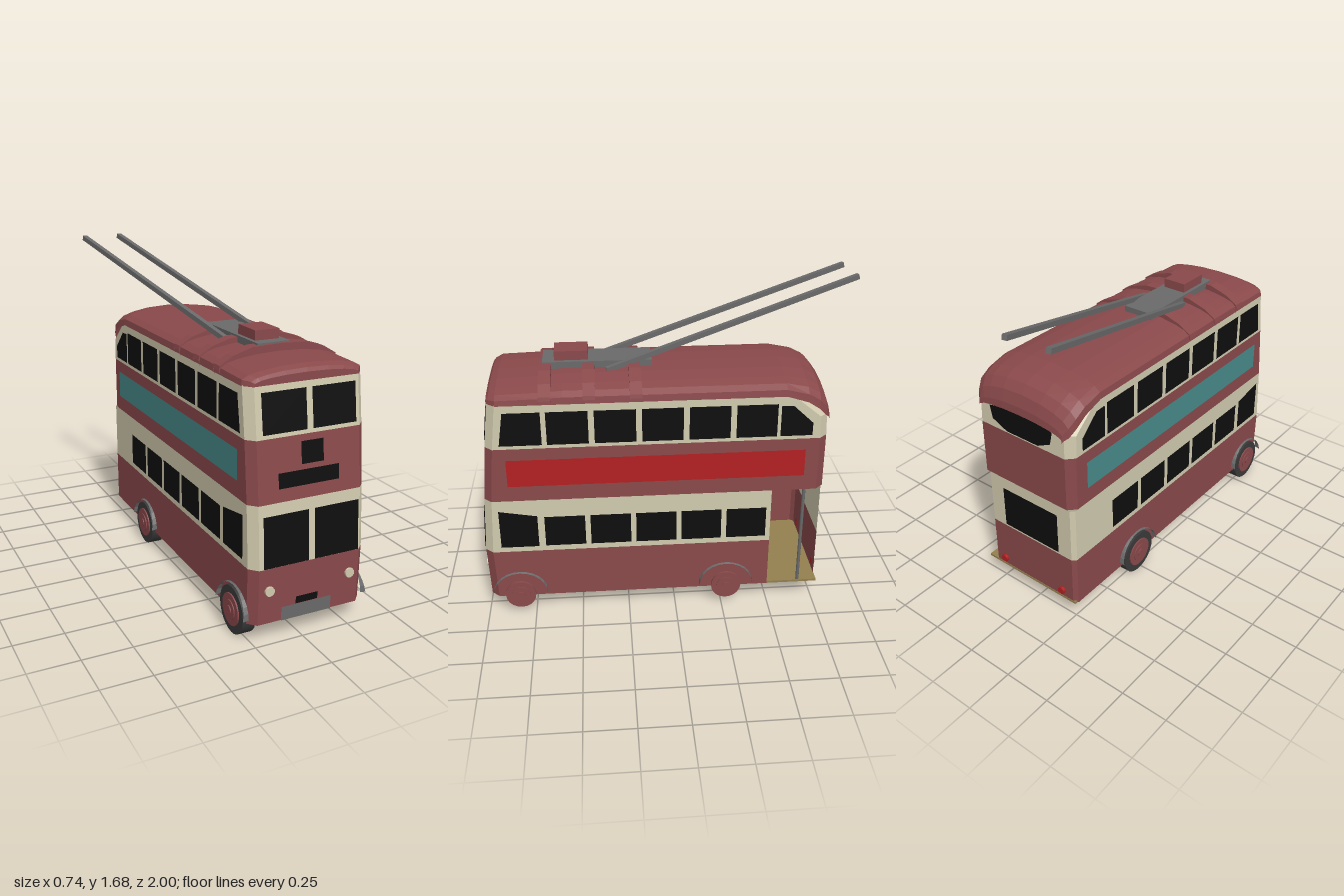
import * as THREE from 'three';

const CX = 0.035;   // centre line of the body
const HW = 0.305;   // half width of the body

const paint = (name, color) => {
  const m = new THREE.MeshStandardMaterial({ color, side: THREE.DoubleSide });
  m.name = name;
  return m;
};

export function createModel() {
  const maroon = paint('maroon', 0x8a494b), cream = paint('cream', 0xd2cbaf);
  const black = paint('black', 0x0e0e0e), red = paint('red', 0xb42022);
  const teal = paint('teal', 0x488a8a), grey = paint('grey', 0x6a6a6a);
  const rubber = paint('rubber', 0x3a3a3a), tan = paint('tan', 0x94804f);

  const bus = new THREE.Group();
  bus.name = 'trolleybus';

  const add = (name, geo, mat, x = 0, y = 0, z = 0) => {
    const mesh = new THREE.Mesh(geo, mat);
    mesh.name = name;
    mesh.position.set(x, y, z);
    bus.add(mesh);
    return mesh;
  };
  const flatMesh = (name, pos, mat) => {
    const g = new THREE.BufferGeometry();
    g.setAttribute('position', new THREE.Float32BufferAttribute(pos.flat(), 3));
    g.computeVertexNormals();
    return add(name, g, mat);
  };
  // Skin over rows of points
  const surface = (name, rows, mat) => {
    const pos = [];
    for (let r = 0; r + 1 < rows.length; r++)
      for (let i = 0; i + 1 < rows[r].length; i++) {
        const a = rows[r][i], b = rows[r][i + 1], c = rows[r + 1][i + 1], d = rows[r + 1][i];
        pos.push(a, b, c, a, c, d);
      }
    return flatMesh(name, pos, mat);
  };
  // Thin convex plate
  const panel = (name, pts, mat) => {
    const pos = [];
    for (let i = 1; i + 1 < pts.length; i++) pos.push(pts[0], pts[i], pts[i + 1]);
    return flatMesh(name, pos, mat);
  };
  const box = (name, x0, x1, y0, y1, z0, z1, mat) =>
    add(name, new THREE.BoxGeometry(x1 - x0, y1 - y0, z1 - z0), mat,
      (x0 + x1) / 2, (y0 + y1) / 2, (z0 + z1) / 2);

  // Body walls, one band per colour; the nose leans back with height
  const L = CX - HW, R = CX + HW;
  const nose = [[0.1, 0.982], [0.38, 0.991], [0.685, 0.973], [0.98, 0.945], [1.1, 0.93], [1.22, 0.915]];
  const noseZ = y => {
    const i = Math.max(1, nose.findIndex(n => n[0] >= y));
    const [y0, z0] = nose[i - 1], [y1, z1] = nose[i];
    return z0 + (z1 - z0) * (y - y0) / (y1 - y0);
  };
  const frontOutline = (y, z = noseZ(y)) => [
    [L, y, z - 0.04], [L + 0.038, y, z], [R - 0.038, y, z], [R, y, z - 0.04]];
  const lowerRing = y => [[0.28, y, -0.77], [L + 0.02, y, -0.77], [L, y, -0.75],
    ...frontOutline(y), [R, y, -0.5]];
  const upperRing = (y, zr = -0.77) => [[CX, y, zr], [L + 0.038, y, zr], [L, y, zr + 0.04],
    ...frontOutline(y), [R, y, zr + 0.04], [R - 0.038, y, zr], [CX, y, zr]];
  surface('lowerPanels', [lowerRing(0.1), lowerRing(0.38)], maroon);
  surface('lowerWindowBand', [lowerRing(0.38), lowerRing(0.685)], cream);
  surface('middlePanels', [upperRing(0.685), upperRing(0.98)], maroon);
  surface('upperWindowBand', [upperRing(0.98), upperRing(1.1, -0.765), upperRing(1.22, -0.62)], cream);

  // Rear platform: bulkhead, floor, ceiling and grab pole
  for (const [y0, y1, m] of [[0.1, 0.38, maroon], [0.38, 0.685, cream]])
    panel('bulkhead', [[R, y0, -0.5], [L, y0, -0.5], [L, y1, -0.5], [R, y1, -0.5]], m);
  box('platformFloor', L + 0.005, R, 0.1, 0.112, -0.772, -0.5, tan);
  panel('platformCeiling', upperRing(0.685).slice(1, 3).concat(
    [[L, 0.685, -0.5], [R, 0.685, -0.5], [R, 0.685, -0.73], [R - 0.038, 0.685, -0.77]]), cream);
  panel('underside', [[L, 0.1, -0.5], ...frontOutline(0.1), [R, 0.1, -0.5]].reverse(), maroon);
  add('grabPole', new THREE.CylinderGeometry(0.009, 0.009, 0.58, 8), grey, R - 0.012, 0.395, -0.67);

  // Domed roof from cross-sections: z, half width, eave height, crown height
  const dome = [[-1, 0], [-0.985, 0.38], [-0.88, 0.62], [-0.7, 0.79], [-0.4, 0.94], [0, 1],
    [0.4, 0.94], [0.7, 0.79], [0.88, 0.62], [0.985, 0.38], [1, 0]];
  const section = ([z, w, eave, crown]) =>
    dome.map(([u, f]) => [CX + u * w, eave + f * (crown - eave), z]);
  surface('roof', [
    [0.918, 0.268, 1.215, 1.216], [0.918, 0.268, 1.215, 1.255], [0.905, 0.28, 1.215, 1.272],
    [0.872, 0.308, 1.215, 1.285], [0.66, 0.308, 1.215, 1.295], [0.55, 0.308, 1.215, 1.305],
    [-0.55, 0.308, 1.215, 1.305], [-0.66, 0.308, 1.18, 1.29], [-0.72, 0.307, 1.14, 1.262],
    [-0.755, 0.29, 1.1, 1.22], [-0.775, 0.268, 1.08, 1.16], [-0.779, 0.264, 1.07, 1.12],
  ].map(section), maroon);

  // Raised ribs across the roof
  const ribLine = [[-1, 1.235], [-0.985, 1.255], [-0.77, 1.295], [-0.45, 1.325], [0, 1.33],
    [0.45, 1.325], [0.77, 1.295], [0.985, 1.255], [1, 1.235]];
  const rib = (z, drop) => ribLine.map(([u, y]) => [CX + u * (0.312 - drop / 4), y - drop, z]);
  for (const z of [0.635, 0.42, 0.192])
    surface('roofRib', [rib(z + 0.03, 0.05), rib(z + 0.03, 0), rib(z - 0.03, 0), rib(z - 0.03, 0.05)], maroon);

  // Current collector base, housing and poles
  box('collectorBase', -0.072, 0.098, 1.29, 1.335, 0.1, 0.65, grey);
  box('collectorHousing', -0.053, 0.075, 1.33, 1.383, 0.42, 0.59, maroon);
  for (const [from, to] of [
    [[-0.09, 1.3, 0.36], [-0.355, 1.668, -0.965]],
    [[0.133, 1.3, 0.33], [-0.135, 1.668, -0.99]]]) {
    const a = new THREE.Vector3(...from), b = new THREE.Vector3(...to);
    const pole = add('trolleyPole', new THREE.BoxGeometry(0.026, 0.026, a.distanceTo(b)), grey);
    pole.position.copy(a).lerp(b, 0.5);
    pole.lookAt(b);
  }

  // Side windows and banners, as [z, y] outlines
  const rect = (a, b, y0, y1) => [[a, y0], [b, y0], [b, y1], [a, y1]];
  const upperWindows = [[[0.87, 1], [0.66, 1], [0.66, 1.177], [0.842, 1.177]],
    [[-0.525, 1], [-0.688, 1], [-0.688, 1.068], [-0.585, 1.165], [-0.525, 1.168]]];
  const lowerWindows = [[[0.905, 0.41], [0.71, 0.41], [0.71, 0.592], [0.905, 0.627]]];
  for (let i = 0; i < 5; i++) {
    upperWindows.push(rect(0.635 - i * 0.2345, 0.43 - i * 0.2345, 1, 1.177));
    lowerWindows.push(rect(0.675 - i * 0.2355, 0.467 - i * 0.2355, 0.412, 0.585));
  }
  for (const s of [1, -1]) {
    const onSide = pts => {
      const out = pts.map(([z, y]) => [CX + s * (HW + 0.004), y, z]);
      return s > 0 ? out : out.reverse();
    };
    upperWindows.forEach(w => panel('upperSideWindow', onSide(w), black));
    lowerWindows.forEach(w => panel('lowerSideWindow', onSide(w), black));
    panel('sideBanner', onSide(rect(0.845, -0.66, 0.77, 0.918)), s > 0 ? red : teal);
  }

  // Front windows, route boxes and plate
  const onFront = (name, x0, x1, y0, y1, mat) => panel(name,
    [[x0, y0], [x1, y0], [x1, y1], [x0, y1]].map(([x, y]) => [x, y, noseZ(y) + 0.005]), mat);
  onFront('lowerFrontWindow', -0.21, 0.024, 0.383, 0.63, black);
  onFront('lowerFrontWindow', 0.055, 0.292, 0.383, 0.63, black);
  onFront('upperFrontWindow', -0.202, 0.024, 1, 1.187, black);
  onFront('upperFrontWindow', 0.055, 0.282, 1, 1.187, black);
  onFront('routeNumberBox', -0.01, 0.105, 0.845, 0.95, black);
  onFront('destinationBox', -0.13, 0.185, 0.748, 0.82, black);
  onFront('numberPlate', -0.037, 0.08, 0.172, 0.208, black);
  onFront('frontStepPlate', -0.112, 0.155, 0.1, 0.17, grey);
  for (const x of [-0.178, 0.252])
    add('headlight', new THREE.CylinderGeometry(0.024, 0.024, 0.016, 10).rotateX(Math.PI / 2), cream, x, 0.268, 0.992);

  // Rear windows and lamps
  panel('lowerRearWindow', [[0.19, 0.395], [-0.17, 0.395], [-0.17, 0.625], [0.19, 0.625]]
    .map(([x, y]) => [x, y, -0.775]), black);
  panel('upperRearWindow', [[0.13, 0.99], [-0.07, 0.99], [-0.15, 1.03], [-0.165, 1.1],
    [-0.08, 1.12], [0.15, 1.12], [0.235, 1.1], [0.22, 1.03]].map(([x, y]) => [x, y, -0.774]), black);
  for (const x of [-0.18, 0.22])
    add('tailLamp', new THREE.CylinderGeometry(0.02, 0.02, 0.015, 10).rotateX(Math.PI / 2), red, x, 0.15, -0.777);

  // Axles, mudguards, hubs, and tyres on the kerbless side
  for (const z of [0.825, -0.272]) {
    box('axle', -0.22, R, 0.07, 0.1, z - 0.008, z + 0.008, grey);
    add('tyre', new THREE.CylinderGeometry(0.118, 0.118, 0.068, 24).rotateZ(Math.PI / 2), rubber, -0.253, 0.118, z);
    for (const s of [1, -1]) {
      const side = CX + s * HW;
      const inner = [], outer = [];
      for (let i = 0; i <= 12; i++) {
        const t = Math.PI * i / 12, y = 0.13 + 0.12 * Math.sin(t), zz = z + 0.143 * Math.cos(t);
        inner.push([side, y, zz]);
        outer.push([side + s * (0.03 - 0.02 * Math.sin(t)), y - 0.004, zz]);
      }
      surface('mudguard', s > 0 ? [outer, inner] : [inner, outer], grey);
      // Stepped hub rings
      for (const [r, x] of [[0.08, 0.018], [0.05, 0.023], [0.022, 0.028]])
        add('hub', new THREE.CylinderGeometry(r, r, 0.012, 20).rotateZ(Math.PI / 2), maroon, side + s * x, 0.12, z);
    }
  }
  return bus;
}
